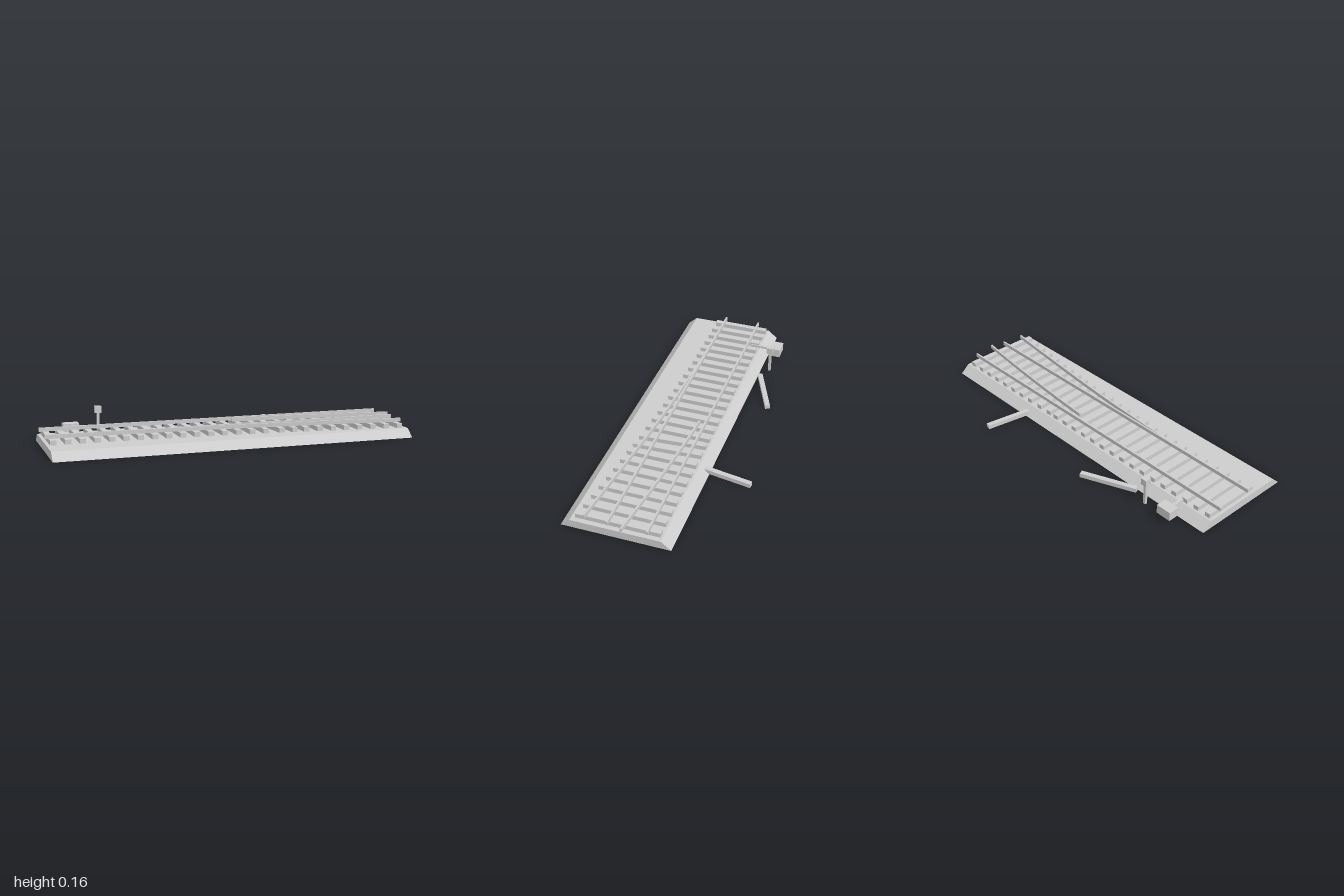
import * as THREE from 'three';

export function createModel() {
  const group = new THREE.Group();
  const grey = new THREE.MeshStandardMaterial({ color: 0xcccccc });
  grey.name = 'plain grey';

  const add = (name, geometry) => {
    const mesh = new THREE.Mesh(geometry, grey);
    mesh.name = name;
    group.add(mesh);
    return mesh;
  };
  // Box given by its limits on each axis
  const block = (name, x0, x1, y0, y1, z0, z1) => {
    const mesh = add(name, new THREE.BoxGeometry(x1 - x0, y1 - y0, z1 - z0));
    mesh.position.set((x0 + x1) / 2, (y0 + y1) / 2, (z0 + z1) / 2);
    return mesh;
  };
  // Flat plank between two ground points [x, z]
  const plank = (name, [ax, az], [bx, bz], width, y0, y1) => {
    const dx = bx - ax, dz = bz - az;
    const mesh = add(name, new THREE.BoxGeometry(Math.hypot(dx, dz), y1 - y0, width));
    mesh.position.set((ax + bx) / 2, (y0 + y1) / 2, (az + bz) / 2);
    mesh.rotation.y = -Math.atan2(dz, dx);
  };

  // Ballast bed with sloped long sides
  const profile = new THREE.Shape([[-0.412, 0], [0.174, 0], [0.122, 0.045], [-0.362, 0.045]]
    .map(([x, y]) => new THREE.Vector2(x, y)));
  const bed = new THREE.ExtrudeGeometry(profile, { depth: 1.98, bevelEnabled: false });
  bed.rotateY(Math.PI / 2).translate(-1, 0, 0);
  add('ballastBed', bed);

  // Sleepers, lengthening under the diverging track; two lie askew
  for (let i = 0; i < 26; i++) {
    const x = -0.965 + i * 0.0761;
    const end = 0.217 + 0.125 * Math.pow(Math.max(0, (x + 0.7) / 1.64), 1.75);
    const sleeper = block('sleeper', x - 0.016, x + 0.016, 0.045, 0.07, -0.111, end);
    if (i === 16) sleeper.rotation.y = 0.07;
    if (i === 17) sleeper.rotation.y = 0.05;
  }

  // Straight rails
  for (const z of [-0.05, 0.16]) block('straightRail', -1, 0.98, 0.07, 0.091, z - 0.005, z + 0.005);

  // Curved rails, a ribbon in plan extruded upwards
  const curvedRail = (points) => {
    const curve = new THREE.SplineCurve(points.map(([x, z]) => new THREE.Vector2(x, -z)));
    const line = curve.getPoints(20);
    const side = (d) => line.map((p) => new THREE.Vector2(p.x, p.y + d));
    const shape = new THREE.Shape([...side(-0.005), ...side(0.005).reverse()]);
    const rail = new THREE.ExtrudeGeometry(shape, { depth: 0.021, bevelEnabled: false });
    rail.rotateX(-Math.PI / 2).translate(0, 0.07, 0);
    add('curvedRail', rail);
  };
  curvedRail([[0.075, -0.015], [0.3, 0.002], [0.62, 0.033], [1, 0.078]]);
  curvedRail([[-0.81, 0.161], [-0.45, 0.167], [0, 0.191], [0.3, 0.216], [0.62, 0.249], [0.97, 0.287]]);

  // Point motor and its rod
  block('motorBox', -0.845, -0.757, 0.026, 0.076, -0.254, -0.192);
  block('motorRod', -0.806, -0.79, 0.046, 0.059, -0.2, -0.06);

  // Small signal on a post
  block('signalPost', -0.653, -0.638, 0, 0.126, -0.23, -0.215);
  block('signalHead', -0.664, -0.628, 0.126, 0.163, -0.241, -0.204);

  // Loose planks beside the bed
  plank('leftPlank', [-0.553, -0.189], [-0.26, -0.315], 0.028, 0.003, 0.027);
  plank('rightPlank', [0.371, -0.15], [0.414, -0.411], 0.028, 0.003, 0.027);

  return group;
}
